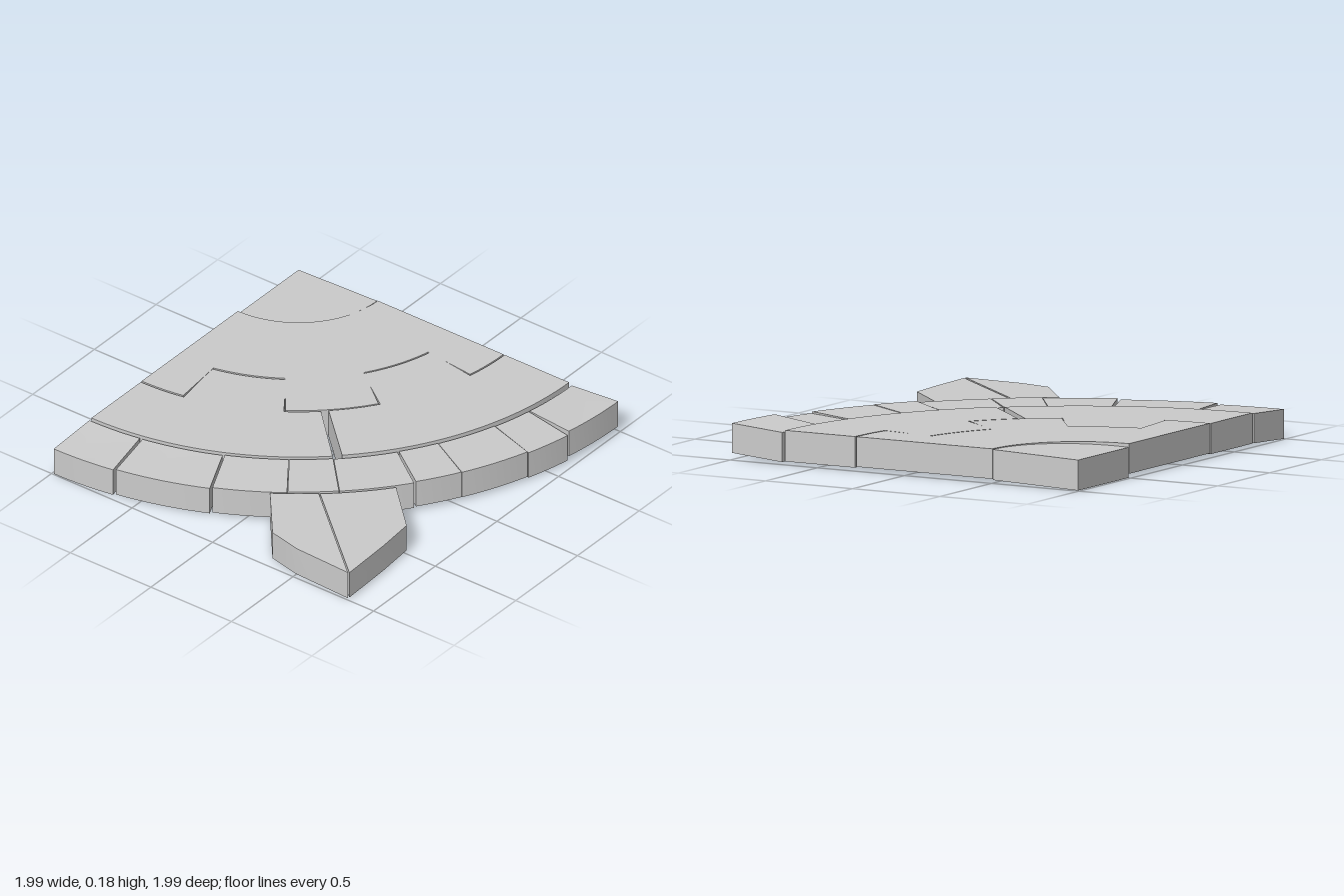
import * as THREE from 'three';
import { toCreasedNormals } from 'three/addons/utils/BufferGeometryUtils.js';

const CX = 0.99, CZ = -0.99; // corner where all the arcs are centred
const material = new THREE.MeshStandardMaterial({ color: 0xcccccc });

// Plan point from radius and angle (0 = toward -x, 90 = toward +z), as (x, -z)
function polar(r, deg) {
  const a = THREE.MathUtils.degToRad(deg);
  return new THREE.Vector2(CX - r * Math.cos(a), -(CZ + r * Math.sin(a)));
}

// Outline made of arcs [radius, fromAngle, toAngle] joined by straight edges
function arcs(...list) {
  const pts = [];
  for (const [r, a0, a1] of list) {
    const n = Math.max(1, Math.ceil(Math.abs(a1 - a0) / 1.5));
    for (let i = 0; i <= n; i++) pts.push(polar(r, a0 + ((a1 - a0) * i) / n));
  }
  return pts;
}

// Upright slab on a plan outline; lift(r, x, z) shifts its height to tilt it
function slab(name, pts, y0, y1, lift) {
  let geo = new THREE.ExtrudeGeometry(new THREE.Shape(pts), { depth: y1 - y0, bevelEnabled: false });
  geo.rotateX(-Math.PI / 2).translate(0, y0, 0);
  if (lift) {
    const p = geo.attributes.position;
    for (let i = 0; i < p.count; i++) {
      const x = p.getX(i), z = p.getZ(i);
      p.setY(i, p.getY(i) + lift(Math.hypot(x - CX, z - CZ), x, z));
    }
  }
  geo = toCreasedNormals(geo, 0.4);
  const mesh = new THREE.Mesh(geo, material);
  mesh.name = name;
  return mesh;
}

export function createModel() {
  const model = new THREE.Group();
  model.name = 'quarterRoundPaving';

  // Quarter disc in the corner, dipping toward the back
  model.add(slab('cornerDisc', [new THREE.Vector2(CX, -CZ), ...arcs([0.487, 0, 90])],
    0.02, 0.172, (r, x, z) => 0.03 * (z + 0.5)));

  // Toothed band around the disc
  model.add(slab('toothedBand', arcs(
    [1.272, 0, 10.9], [0.988, 12.3, 33.6], [1.272, 34.5, 55.5],
    [0.988, 56.4, 77.7], [1.272, 79.1, 90], [0.492, 90, 0]), 0.025, 0.175));

  // Two plates notched to fit the teeth, with a narrow gap on the diagonal
  model.add(slab('rightPlate', arcs(
    [1.68, 0, 43.2], [1.28, 42.4, 34.2], [0.996, 33.9, 12], [1.28, 11.2, 0]), 0.02, 0.173));
  model.add(slab('leftPlate', arcs(
    [1.68, 44.8, 90], [1.28, 90, 78.8], [0.996, 78, 56.1], [1.28, 55.8, 44.1]), 0.02, 0.175));

  // Outer kerb stones: start angle, end angle, bottom height, radial tilt
  const stones = [
    [0, 10, 0.012, -0.008], [10.5, 24.7, 0.015, -0.004], [25.1, 35.8, 0.02, -0.002],
    [35.9, 43.2, 0.022, 0], [43.3, 54.1, 0.02, 0.001], [54.4, 61.3, 0.024, 0.003],
    [61.4, 72.1, 0.022, 0.003], [72.3, 79.4, 0.016, 0.001], [79.6, 90, 0.027, 0.012],
  ];
  const kerb = new THREE.Group();
  kerb.name = 'kerb';
  stones.forEach(([a0, a1, y, tilt], i) => {
    kerb.add(slab('kerbStone' + (i + 1), arcs([1.985, a0, a1], [1.697, a1, a0]),
      y, y + 0.148, (r) => (tilt * (r - 1.84)) / 0.145));
  });
  model.add(kerb);

  // Pointed leaf outside the kerb, split into two halves
  const plan = (list) => list.map(([x, z]) => new THREE.Vector2(x, -z));
  const leaf = new THREE.Group();
  leaf.name = 'leaf';
  leaf.add(slab('leafRightHalf', [
    ...arcs([1.995, 40.3, 33.4]),
    ...plan([[-0.945, 0.33], [-0.965, 0.42], [-0.985, 0.51], [-0.992, 0.67], [-1, 0.84]])], 0.015, 0.167));
  leaf.add(slab('leafLeftHalf', [
    ...arcs([1.995, 40.5, 51.4]),
    ...plan([[-0.49, 0.815], [-0.7, 0.833], [-0.994, 0.845]])], 0.018, 0.165));
  model.add(leaf);

  return model;
}
